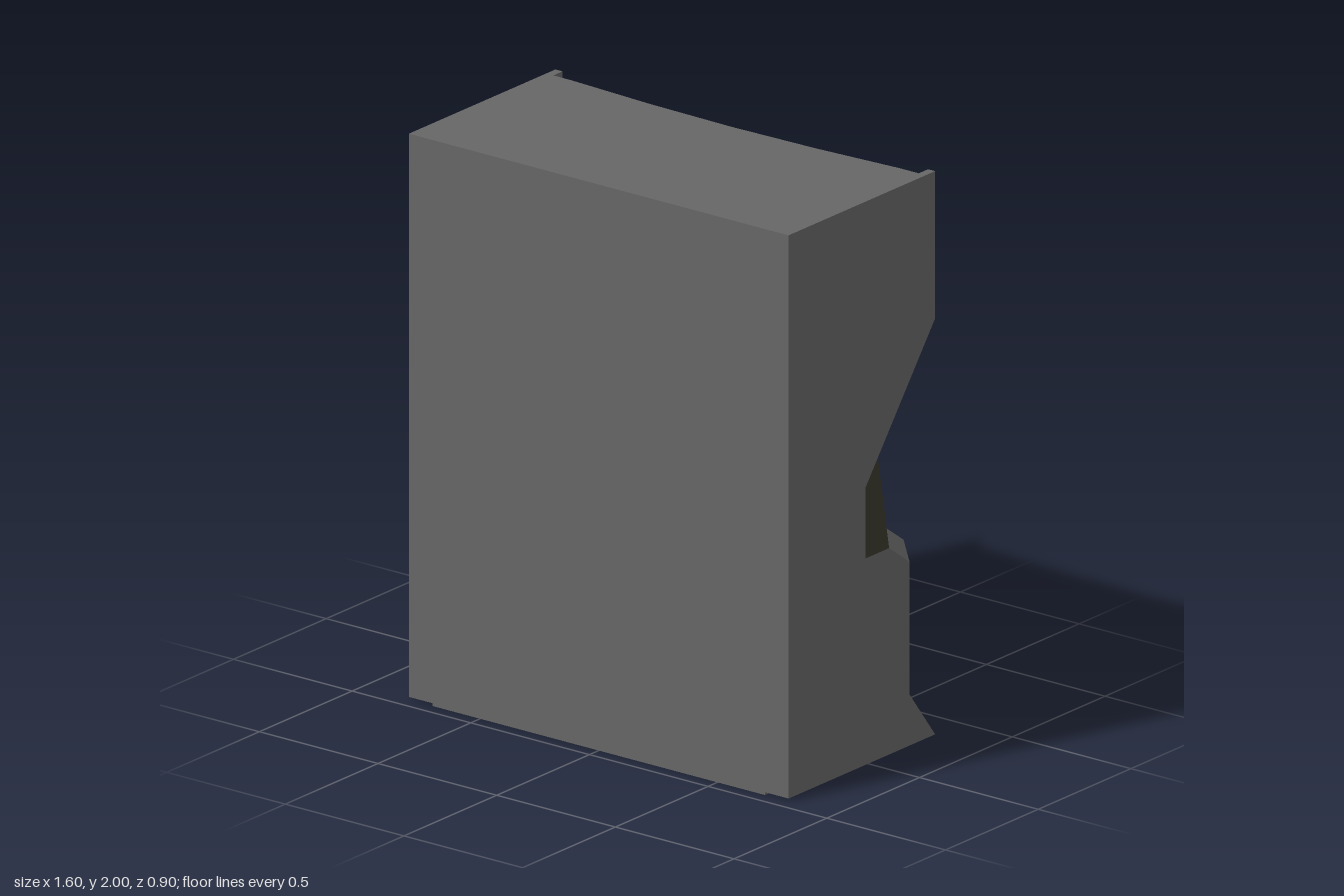
import * as THREE from 'three';
import { RoundedBoxGeometry } from 'three/addons/geometries/RoundedBoxGeometry.js';

const mat = (name, color, side = THREE.FrontSide) => {
  const m = new THREE.MeshStandardMaterial({ color, side });
  m.name = name;
  return m;
};

export function createModel() {
  const grey = mat('grey metal', 0x666666);
  const greyShell = mat('grey shell', 0x666666, THREE.DoubleSide);
  const olive = mat('dark olive', 0x3a382c, THREE.DoubleSide);
  const lightGrey = mat('switch grey', 0x747474);
  const orange = mat('signal orange', 0xc83c10);
  const glass = mat('pale green screen', 0x8a9078);

  const model = new THREE.Group();
  model.name = 'controlCabinet';
  const add = (name, geo, material, x = 0, y = 0, z = 0) => {
    const m = new THREE.Mesh(geo, material);
    m.name = name;
    m.position.set(x, y, z);
    model.add(m);
    return m;
  };
  const box = (w, h, d) => new THREE.BoxGeometry(w, h, d);
  // disc whose axis points along local +z
  const disc = (r, d, n = 24, r2 = r) => new THREE.CylinderGeometry(r2, r, d, n).rotateX(Math.PI / 2);
  // turn a part so its local +z follows the normal (0, ny, nz)
  const face = (m, ny, nz) => {
    m.lookAt(m.position.x, m.position.y + ny, m.position.z + nz);
    return m;
  };
  const bow = (x) => 0.015 * Math.max(0, 1 - (x / 0.62) ** 2);
  const shapeOf = (pts) => new THREE.Shape(pts.map((p) => new THREE.Vector2(p[0], p[1])));

  // flat slab with an outline in x, z
  const slab = (pts, y0, y1) => {
    const g = new THREE.ExtrudeGeometry(shapeOf(pts.map(([x, z]) => [x, -z])), { depth: y1 - y0, bevelEnabled: false });
    return g.rotateX(-Math.PI / 2).translate(0, y0, 0);
  };

  // cut-out side panels
  const sideProfile = [[0.45, 0.01], [0.45, 2], [-0.34, 2], [-0.34, 1.48], [0.035, 0.99], [0.035, 0.5], [-0.34, 0.01]];
  for (const [s, name] of [[1, 'leftSidePanel'], [-1, 'rightSidePanel']]) {
    const g = new THREE.ExtrudeGeometry(shapeOf(sideProfile.map(([z, y]) => [-z, y])), { depth: 0.03, bevelEnabled: false });
    g.rotateY(Math.PI / 2);
    add(name, g, grey, s > 0 ? 0.77 : -0.8);
  }

  // body and bowed head
  add('body', box(1.54, 1.4, 0.4), grey, 0, 0.71, 0.25);
  const half = [[0.77, 0.45], [0.77, -0.29], [0.69, -0.29], [0.35, -0.27]];
  const mirrored = half.map(([x, z]) => [-x, z]).reverse();
  add('head', slab([...half, [0, -0.262], ...mirrored], 1.39, 2), grey);

  // base slab and kick trim
  const foot = (back, c, zf) => {
    const h = [[0.7, back], [0.7, zf + c], [0.62, zf], [0.31, zf + 0.011]];
    return [...h, [0, zf + 0.015], ...h.map(([x, z]) => [-x, z]).reverse()];
  };
  add('baseSlab', slab(foot(0.45, 0.07, -0.44), 0, 0.012), grey);
  add('kickTrim', slab(foot(-0.2, 0.07, -0.45), 0.012, 0.037), olive);

  // shell lofted from levels [z of front, y of front, y of sides], with an optional doorway
  const xs = [0.62, 0.58, 0.3, 0, -0.24, -0.43, -0.62];
  const loft = (levels, skip = () => false) => {
    const rows = levels.map(([zf, y, sy]) => [
      [0.7, sy, 0.06], [0.7, sy, zf + 0.07],
      ...xs.map((x) => [x, y, zf + bow(x)]),
      [-0.7, sy, zf + 0.07], [-0.7, sy, 0.06],
    ]);
    const v = [];
    for (let r = 0; r + 1 < rows.length; r++) {
      for (let i = 0; i + 1 < rows[r].length; i++) {
        if (skip(r, i)) continue;
        const [a, b, c, d] = [rows[r][i], rows[r][i + 1], rows[r + 1][i + 1], rows[r + 1][i]];
        v.push(...a, ...b, ...c, ...a, ...c, ...d);
      }
    }
    const g = new THREE.BufferGeometry();
    g.setAttribute('position', new THREE.Float32BufferAttribute(v, 3));
    g.computeVertexNormals();
    return g;
  };
  add('lowerCabinet', loft([[-0.4, 0.03, 0.03], [-0.4, 0.595, 0.57], [-0.4, 0.64, 0.6], [-0.29, 0.72, 0.68]],
    (r, i) => r === 0 && i >= 3 && i <= 5), greyShell);
  add('dashboard', loft([[-0.29, 0.72, 0.68], [-0.2, 1.15, 1.18], [-0.27, 1.33, 1.33]]), olive);
  add('hood', loft([[-0.2, 1.315, 1.315], [-0.3, 1.315, 1.315], [-0.34, 1.395, 1.395], [-0.22, 1.395, 1.395]]), greyShell);

  // recessed rack: frame, back board, posts and rails
  const frame = shapeOf([[-0.25, 0.035], [0.59, 0.035], [0.59, 0.6], [-0.25, 0.6]]);
  for (const [a, b] of [[-0.23, 0.235], [0.265, 0.56]]) {
    frame.holes.push(new THREE.Path([[a, 0.06], [a, 0.58], [b, 0.58], [b, 0.06]].map((p) => new THREE.Vector2(...p))));
  }
  add('rackFrame', new THREE.ExtrudeGeometry(frame, { depth: 0.12, bevelEnabled: false }), olive, 0, 0, -0.408);
  add('rackBack', box(0.83, 0.55, 0.02), grey, 0.17, 0.32, -0.28);
  add('greyPost', new THREE.CylinderGeometry(0.028, 0.028, 0.53, 16), grey, 0.42, 0.32, -0.345);
  add('olivePost', new THREE.CylinderGeometry(0.048, 0.048, 0.53, 20), olive, 0.083, 0.32, -0.33);
  add('postKnob', new THREE.SphereGeometry(0.032, 16, 12), grey, 0.083, 0.465, -0.385);
  for (const [x, w, ys] of [[0.41, 0.3, [0.11, 0.33]], [-0.09, 0.28, [0.16, 0.335]]]) {
    for (const y of ys) {
      add('rackRail', new THREE.CylinderGeometry(0.016, 0.016, w, 12).rotateZ(Math.PI / 2), grey, x, y, -0.36);
    }
  }

  // head plates and warning lamp
  for (const [x, name] of [[0.335, 'lampPlate'], [-0.405, 'blankPlate']]) {
    add(name, new RoundedBoxGeometry(0.39, 0.29, 0.08, 2, 0.025), grey, x, 1.75, -0.29);
  }
  add('lampFlange', disc(0.105, 0.018, 32), olive, 0.345, 1.765, -0.338);
  const lampProfile = [[0.085, 0], [0.083, 0.02], [0.072, 0.062], [0.062, 0.074], [0.045, 0.079], [0, 0.081]];
  add('warningLamp', new THREE.LatheGeometry(lampProfile.map((p) => new THREE.Vector2(...p)), 28).rotateX(-Math.PI / 2),
    orange, 0.345, 1.765, -0.345);

  // parts lying on the dashboard face
  const onDash = (name, geo, material, x, y, out = 0) => {
    const z = -0.29 + ((y - 0.72) * 0.09) / 0.43 + bow(x) - out;
    return face(add(name, geo, material, x, y, z), 0.205, -0.979);
  };
  onDash('screenMount', disc(0.13, 0.05), olive, 0, 0.935, 0.015);
  onDash('screenRim', disc(0.185, 0.014, 40), grey, 0, 0.937, 0.048);
  onDash('screen', disc(0.176, 0.006, 40), glass, 0, 0.939, 0.056);
  for (const x of [0.5, 0.39, 0.28]) {
    onDash('dialRim', new THREE.TorusGeometry(0.042, 0.008, 8, 24), grey, x, 1.05, 0.012);
    onDash('dialFace', disc(0.04, 0.02), grey, x, 1.05, 0.004);
  }
  for (const x of [0.43, 0.315]) onDash('squareButton', box(0.085, 0.085, 0.03), grey, x, 0.92, 0.01);
  for (const y of [0.867, 0.78]) onDash('darkKnob', disc(0.038, 0.045, 20, 0.03), olive, -0.24, y, 0.02);

  // toggle plates under the hood
  for (const x of [0.54, 0.49, 0.27]) {
    const z = -0.2 - ((1.23 - 1.15) * 0.07) / 0.18 + bow(x);
    face(add('toggleSwitch', box(0.025, 0.08, 0.03), lightGrey, x, 1.23, z), -0.363, -0.932);
  }

  // switch box with orange rockers and looped cables
  add('switchBox', new RoundedBoxGeometry(0.15, 0.235, 0.16, 2, 0.012), grey, -0.425, 1.18, -0.25);
  for (const x of [-0.4, -0.45]) {
    add('rockerBase', box(0.036, 0.09, 0.012), orange, x, 1.195, -0.334);
    const tip = add('rocker', box(0.03, 0.045, 0.012), orange, x, 1.215, -0.341);
    tip.rotation.x = -0.25;
    const path = new THREE.CatmullRomCurve3([[1.08, -0.28], [1.03, -0.285], [0.995, -0.265], [0.985, -0.21]]
      .map(([y, z]) => new THREE.Vector3(x, y, z)));
    add('cable', new THREE.TubeGeometry(path, 14, 0.014, 10), grey);
  }

  // rings and slots on the sloping ledge
  for (const x of [0.38, 0.235]) {
    face(add('ledgeRing', new THREE.TorusGeometry(0.046, 0.011, 8, 28), grey, x, 0.683, -0.345 + bow(x)), 0.809, -0.588);
    face(add('ringWell', disc(0.04, 0.008), olive, x, 0.681, -0.344 + bow(x)), 0.809, -0.588);
  }
  for (const x of [-0.145, -0.195]) {
    face(add('ledgeSlot', box(0.036, 0.084, 0.012), olive, x, 0.681, -0.345 + bow(x)), 0.809, -0.588);
    face(add('ledgeSwitch', box(0.026, 0.074, 0.024), lightGrey, x, 0.681, -0.345 + bow(x)), 0.809, -0.588);
  }
  return model;
}
